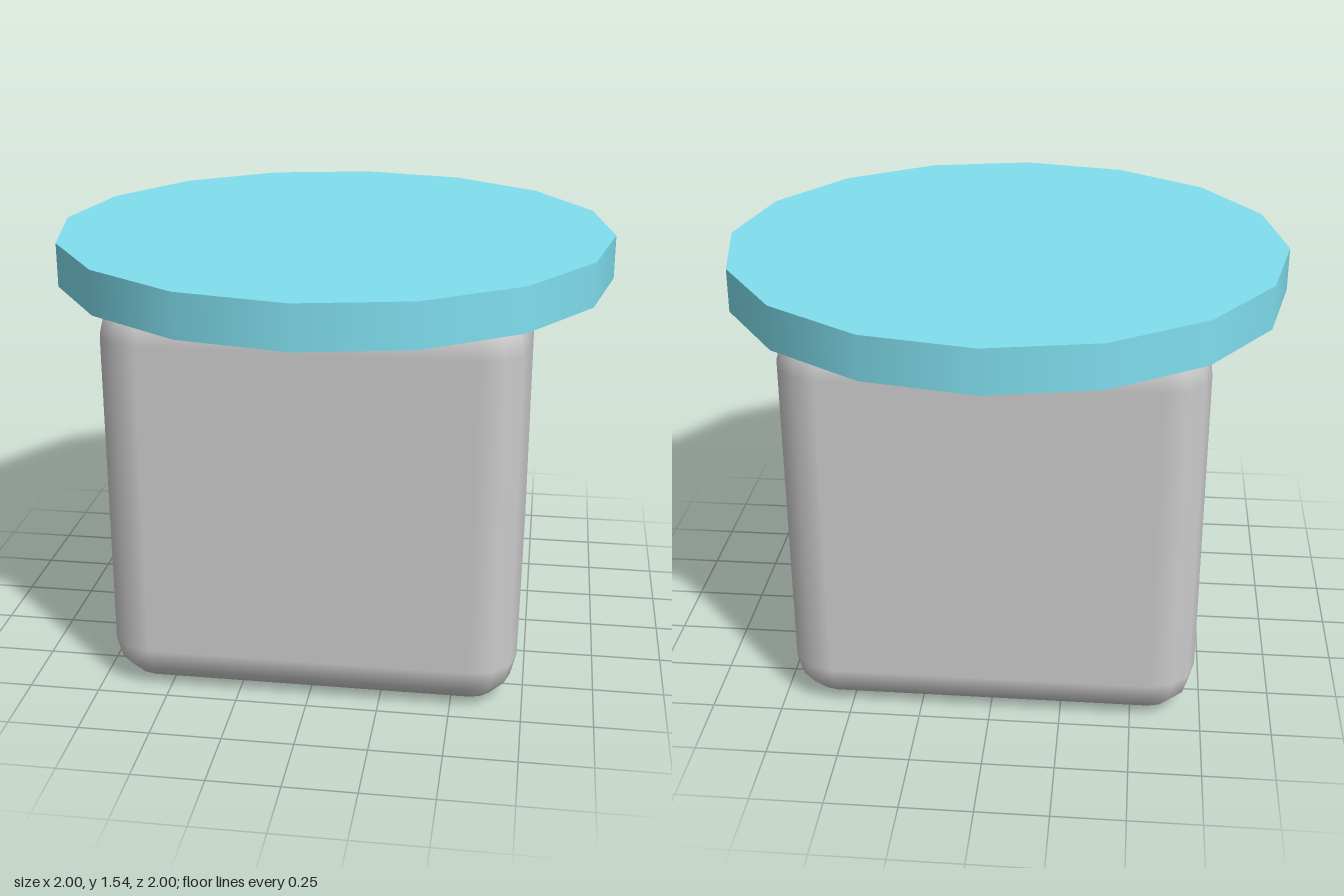
import * as THREE from 'three';

// Box with rounded edges: a sphere split into eight corners that are pushed apart
function roundedBlock(size, r, steps) {
  const h = size / 2 - r;
  const pos = [], nor = [], idx = [];
  const columns = [], rows = [{ lat: -Math.PI / 2, spread: 0, sy: -1 }];
  for (let q = 0; q < 4; q++) {
    const mid = (q + 0.5) * Math.PI / 2;
    for (let k = 0; k <= steps; k++) {
      columns.push({ lon: (q + k / steps) * Math.PI / 2, sx: Math.sign(Math.sin(mid)), sz: Math.sign(Math.cos(mid)) });
    }
  }
  columns.push(columns[0]);
  for (const sy of [-1, 1]) {
    for (let k = 0; k <= steps; k++) {
      rows.push({ lat: (k / steps + (sy < 0 ? -1 : 0)) * Math.PI / 2, spread: 1, sy });
    }
  }
  rows.push({ lat: Math.PI / 2, spread: 0, sy: 1 });

  for (const { lat, spread, sy } of rows) {
    for (const { lon, sx, sz } of columns) {
      const n = [Math.cos(lat) * Math.sin(lon), Math.sin(lat), Math.cos(lat) * Math.cos(lon)];
      nor.push(...n);
      pos.push(n[0] * r + sx * h * spread, n[1] * r + sy * h, n[2] * r + sz * h * spread);
    }
  }
  const w = columns.length;
  for (let j = 0; j < rows.length - 1; j++) {
    for (let i = 0; i < w - 1; i++) {
      const a = j * w + i;
      idx.push(a, a + 1, a + w + 1, a, a + w + 1, a + w);
    }
  }
  const geo = new THREE.BufferGeometry();
  geo.setAttribute('position', new THREE.Float32BufferAttribute(pos, 3));
  geo.setAttribute('normal', new THREE.Float32BufferAttribute(nor, 3));
  geo.setIndex(idx);
  return geo;
}

export function createModel() {
  const model = new THREE.Group();
  model.name = 'stool';

  // Rounded cube base
  const size = 1.45;
  const base = new THREE.Mesh(
    roundedBlock(size, 0.16, 3),
    new THREE.MeshStandardMaterial({ color: 0xcccccc })
  );
  base.name = 'base';
  base.position.y = size / 2;
  model.add(base);

  // Sixteen-sided disc, overlapping the top of the base
  const bottom = 1.385, top = 1.54;
  const seat = new THREE.Mesh(
    new THREE.CylinderGeometry(1, 1, top - bottom, 16),
    new THREE.MeshStandardMaterial({ color: 0x80deee })
  );
  seat.name = 'seat';
  seat.position.y = (bottom + top) / 2;
  model.add(seat);

  return model;
}
